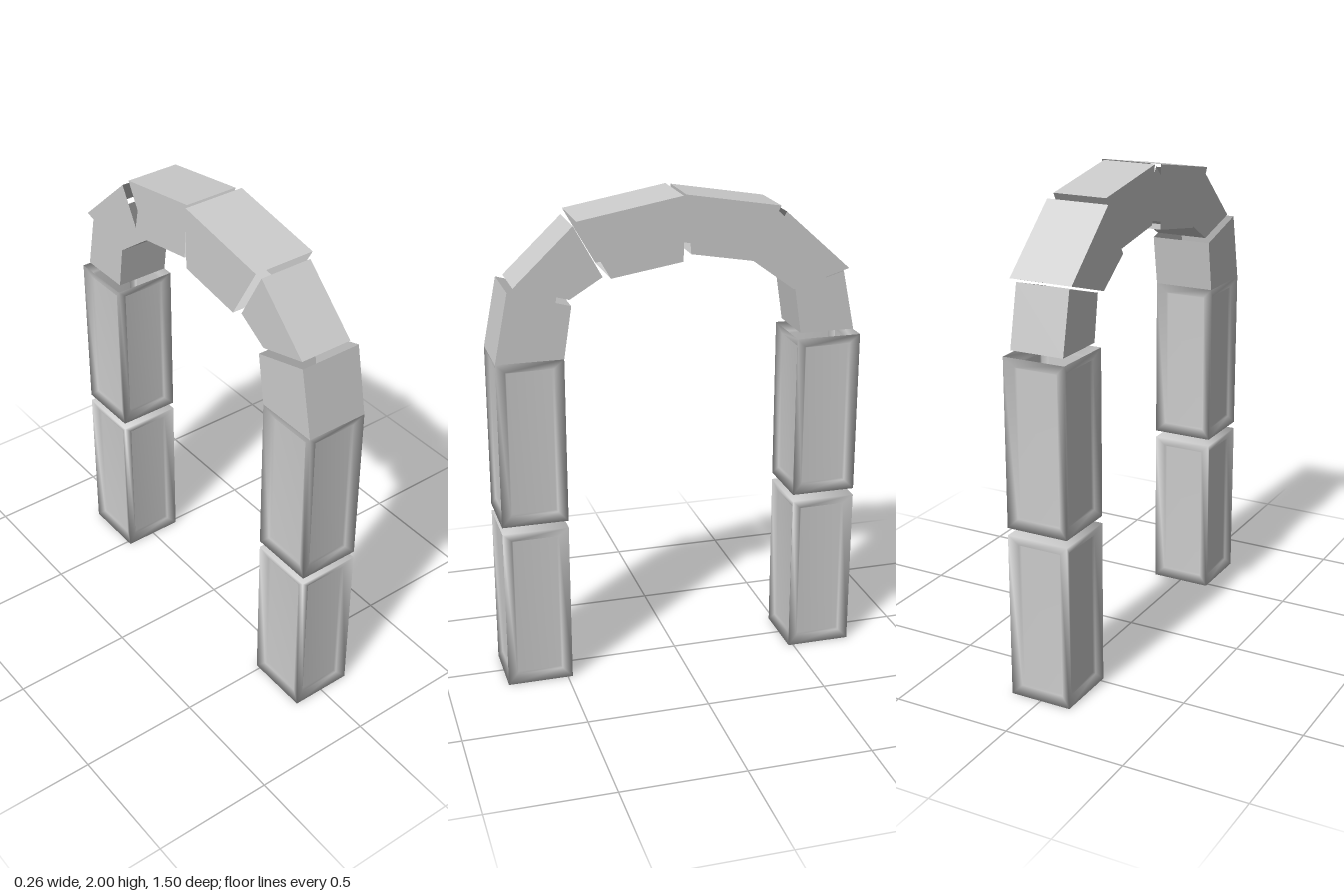
import * as THREE from 'three';
import { mergeVertices } from 'three/addons/utils/BufferGeometryUtils.js';

// Hollow block: a [z, y] outline (outer edge, end, inner edge, end) spread over
// x = -w..w, leaving the outline edges listed in `open` without a face.
// A panel depth above 0 sinks a panel with a sloping frame into each upright side.
function blockGeometry(outline, w, open, panel = 0) {
  const corner = (i, s) => new THREE.Vector3(s * w, outline[i % 4][1], outline[i % 4][0]);
  const centre = new THREE.Vector3();
  for (let i = 0; i < 4; i++) centre.addScaledVector(corner(i, 0), 0.25);
  const faces = [1, -1].map(s => [0, 1, 2, 3].map(i => corner(i, s)));
  for (let i = 0; i < 4; i++) {
    if (!open.includes(i)) faces.push([corner(i, -1), corner(i + 1, -1), corner(i + 1, 1), corner(i, 1)]);
  }

  const positions = [];
  const quad = (a, b, c, d) => [a, b, c, a, c, d].forEach(p => positions.push(p.x, p.y, p.z));
  const normalOf = f => f[2].clone().sub(f[0]).cross(f[3].clone().sub(f[1])).normalize();
  for (let face of faces) {
    const middle = face.reduce((m, p) => m.addScaledVector(p, 0.25), new THREE.Vector3());
    if (normalOf(face).dot(middle.sub(centre)) < 0) face = face.slice().reverse();
    const n = normalOf(face);
    if (!panel || Math.abs(n.y) > 0.5) { quad(...face); continue; }
    const inset = (amount, depth) => face.map((p, i) => {
      const next = face[(i + 1) % 4].clone().sub(p).normalize();
      const prev = face[(i + 3) % 4].clone().sub(p).normalize();
      return p.clone().addScaledVector(next.add(prev), amount).addScaledVector(n, -depth);
    });
    const rings = [face, inset(0.039, panel * 0.6), inset(0.045, panel)];
    for (let r = 0; r < 2; r++) {
      for (let i = 0; i < 4; i++) {
        const j = (i + 1) % 4;
        quad(rings[r][i], rings[r][j], rings[r + 1][j], rings[r + 1][i]);
      }
    }
    quad(...rings[2]);
  }
  let geometry = new THREE.BufferGeometry();
  geometry.setAttribute('position', new THREE.Float32BufferAttribute(positions, 3));
  if (panel) geometry = mergeVertices(geometry, 1e-4);
  geometry.computeVertexNormals();
  return geometry;
}

export function createModel() {
  const arch = new THREE.Group();
  arch.name = 'stoneArch';
  const stone = new THREE.MeshStandardMaterial({ color: 0xcccccc, side: THREE.DoubleSide });
  const add = (name, geometry) => {
    const mesh = new THREE.Mesh(geometry, stone);
    mesh.name = name;
    arch.add(mesh);
  };

  // Two panelled blocks in each pillar, the upper one open at its top
  for (const [side, s] of [['front', 1], ['back', -1]]) {
    for (const [level, y0, y1, open] of [['Lower', 0, 0.68, []], ['Upper', 0.71, 1.39, [1]]]) {
      const outline = [[s * 0.75, y0], [s * 0.75, y1], [s * 0.48, y1], [s * 0.48, y0]];
      add(`${side}Pillar${level}`, blockGeometry(outline, 0.13, open, 0.022));
    }
  }

  // Open-ended wedge stones from the front springing over the crown to the back
  const wedges = [
    ['frontSpringer', 0.13, [[0.75, 1.39], [0.694, 1.67], [0.447, 1.6], [0.48, 1.39]]],
    ['frontHaunch', 0.112, [[0.668, 1.68], [0.43, 1.905], [0.318, 1.7], [0.45, 1.62]]],
    ['frontCrown', 0.13, [[0.42, 1.925], [0, 2], [0, 1.743], [0.29, 1.696]]],
    ['backCrown', 0.112, [[-0.016, 2], [-0.403, 1.935], [-0.29, 1.722], [-0.036, 1.766]]],
    ['backHaunch', 0.13, [[-0.419, 1.915], [-0.69, 1.67], [-0.456, 1.6], [-0.307, 1.71]]],
    ['backSpringer', 0.112, [[-0.675, 1.655], [-0.726, 1.41], [-0.498, 1.41], [-0.47, 1.595]]],
  ];
  for (const [name, w, outline] of wedges) add(name, blockGeometry(outline, w, [1, 3]));
  return arch;
}
